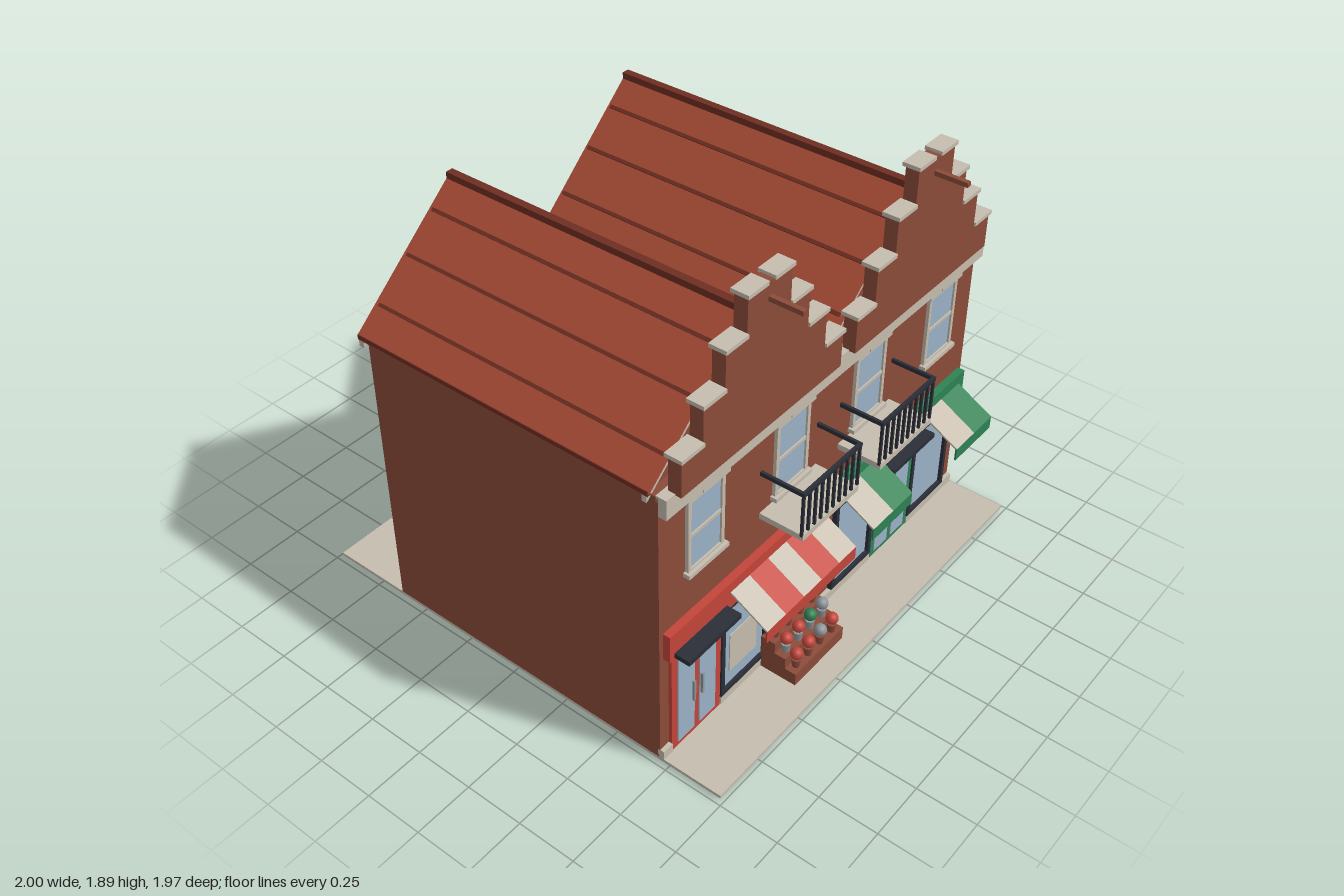
import * as THREE from 'three';

const mat = (name, color) => {
  const m = new THREE.MeshStandardMaterial({ color });
  m.name = name;
  return m;
};

export function createModel() {
  const root = new THREE.Group();
  root.name = 'terracedShops';
  const stone = mat('stone', 0xc6bdae), brick = mat('brick', 0x8c4c3a), roofTile = mat('roofTile', 0xa64b34);
  const roofTrim = mat('roofTrim', 0x6e2e22), glass = mat('glass', 0x9ab2c6), red = mat('redPaint', 0xc4453a);
  const green = mat('greenPaint', 0x2f8254), dark = mat('charcoal', 0x2b2e37), blue = mat('binBlue', 0x374f8c);
  const grey = mat('grey', 0x8e959a);

  const add = (name, geo, m, parent = root) => {
    const mesh = new THREE.Mesh(geo, m);
    mesh.name = name;
    parent.add(mesh);
    return mesh;
  };
  // Box from its limits on each axis
  const box = (name, m, x0, x1, y0, y1, z0, z1, parent = root) => {
    const b = add(name, new THREE.BoxGeometry(x1 - x0, y1 - y0, z1 - z0), m, parent);
    b.position.set((x0 + x1) / 2, (y0 + y1) / 2, (z0 + z1) / 2);
    return b;
  };
  const group = (name) => {
    const g = new THREE.Group();
    g.name = name;
    root.add(g);
    return g;
  };
  // Outline extruded along z between two planes
  const prism = (name, m, pts, z0, z1, parent = root) => {
    const shape = new THREE.Shape(pts.map(([x, y]) => new THREE.Vector2(x, y)));
    const mesh = add(name, new THREE.ExtrudeGeometry(shape, { depth: z1 - z0, bevelEnabled: false }), m, parent);
    mesh.position.z = z0;
    return mesh;
  };
  // Rectangular frame with an open middle
  const frame = (name, m, x0, x1, y0, y1, z0, z1, t, parent) => {
    box(name + 'Left', m, x0, x0 + t, y0, y1, z0, z1, parent);
    box(name + 'Right', m, x1 - t, x1, y0, y1, z0, z1, parent);
    box(name + 'Top', m, x0 + t, x1 - t, y1 - t, y1, z0, z1, parent);
    box(name + 'Bottom', m, x0 + t, x1 - t, y0, y0 + t, z0, z1, parent);
  };

  // Pavement and walls
  box('pavement', stone, -0.98, 0.98, 0.008, 0.022, -0.985, 0.985);
  prism('houseWalls', brick, [[-0.98, 0.02], [0.98, 0.02], [0.98, 1.27], [0.49, 1.7], [0, 1.27], [-0.49, 1.7], [-0.98, 1.27]], -0.63, 0.665);
  box('frontWall', brick, -0.98, 0.98, 0.02, 1.28, 0.66, 0.71);
  box('cornice', stone, -0.98, 0.98, 1.2, 1.285, 0.7, 0.745);
  for (const [a, b] of [[-0.98, -0.93], [-0.645, 0.35], [0.63, 0.98]]) box('plinth', stone, a, b, 0.02, 0.062, 0.7, 0.728);

  // Double roof with bargeboards, seams and ridge caps
  const ridgeLine = [[-1, 1.3], [-0.49, 1.732], [0, 1.3], [0.49, 1.732], [1, 1.3]];
  const band = (top, bottom) => [
    ...ridgeLine.map(([x, y]) => [x, y - bottom]),
    ...ridgeLine.map(([x, y]) => [x, y - top]).reverse(),
  ];
  prism('roofCovering', roofTile, band(0, 0.018), -0.66, 0.685);
  prism('rearBargeboard', stone, band(0.018, 0.045), -0.655, -0.63);
  prism('frontBargeboard', stone, band(0.018, 0.045), 0.66, 0.68);
  const slope = Math.atan2(0.432, 0.5);
  for (const cx of [-0.49, 0.49]) {
    box('ridgeCap', roofTrim, cx - 0.016, cx + 0.016, 1.718, 1.745, -0.66, 0.685);
    for (const s of [-1, 1]) for (const d of [0.11, 0.25, 0.405]) {
      const seam = box('roofSeam', roofTrim, -0.007, 0.007, -0.006, 0.006, -0.645, 0.67);
      seam.position.x = cx + s * d;
      seam.position.y = 1.734 - d * 0.87;
      seam.rotation.z = -s * slope;
    }
  }
  for (const s of [-1, 1]) box('eavesTrim', roofTrim, s * 0.993 - 0.007, s * 0.993 + 0.007, 1.285, 1.303, -0.66, 0.685);

  // Stepped front gables with coping stones and hoist beams
  const half = [0.445, 0.335, 0.225, 0.117];
  for (const cx of [-0.49, 0.49]) {
    const g = group('steppedGable');
    const right = half.flatMap((h, i) => [[h, 1.28 + i * 0.15], [h, 1.43 + i * 0.15]]);
    const left = right.map(([x, y]) => [-x, y]).reverse();
    prism('gableWall', brick, [...right, ...left].map(([x, y]) => [cx + x, y]), 0.715, 0.77, g);
    half.forEach((h, i) => {
      const inner = i < 3 ? half[i + 1] : 0.018, y = 1.43 + i * 0.15;
      for (const s of [-1, 1]) {
        const a = cx + s * inner, b = cx + s * (h + 0.008);
        box('copingStone', stone, Math.min(a, b), Math.max(a, b), y - 0.004, y + 0.012, 0.705, 0.778, g);
      }
    });
    box('hoistBeam', brick, cx - 0.01, cx + 0.01, 1.807, 1.826, 0.76, 0.905, g);
  }

  // Upper front windows
  for (const cx of [-0.74, -0.245, 0.245, 0.74]) {
    const g = group('upperWindow');
    box('windowGlass', glass, cx - 0.085, cx + 0.085, 0.85, 1.17, 0.708, 0.716, g);
    frame('windowFrame', stone, cx - 0.1, cx + 0.1, 0.84, 1.18, 0.705, 0.724, 0.017, g);
    box('windowBar', stone, cx - 0.085, cx + 0.085, 0.998, 1.012, 0.705, 0.722, g);
    box('windowSill', stone, cx - 0.11, cx + 0.11, 0.832, 0.85, 0.705, 0.738, g);
    box('windowLintel', stone, cx - 0.113, cx + 0.113, 1.168, 1.188, 0.705, 0.734, g);
    box('keystone', stone, cx - 0.038, cx + 0.038, 1.178, 1.198, 0.705, 0.738, g);
  }
  // Rear windows
  for (const cx of [-0.49, 0.49]) {
    const g = group('rearWindow');
    box('windowGlass', glass, cx - 0.085, cx + 0.085, 0.85, 1.11, -0.636, -0.628, g);
    frame('windowFrame', stone, cx - 0.098, cx + 0.098, 0.84, 1.125, -0.645, -0.625, 0.016, g);
    box('windowSill', stone, cx - 0.11, cx + 0.11, 0.834, 0.85, -0.658, -0.625, g);
  }

  // Balconies
  for (const cx of [-0.245, 0.245]) {
    const g = group('balcony'), x0 = cx - 0.178, x1 = cx + 0.178;
    box('balconyFloor', stone, x0 + 0.005, x1 - 0.005, 0.79, 0.815, 0.7, 0.9, g);
    box('frontRail', dark, x0, x1, 0.995, 1.012, 0.886, 0.9, g);
    for (const x of [x0, x1 - 0.012]) box('sideRail', dark, x, x + 0.012, 0.995, 1.012, 0.71, 0.89, g);
    for (let i = 0; i < 10; i++) {
      const x = x0 + 0.006 + i * (0.344 / 9);
      box('baluster', dark, x - 0.005, x + 0.005, 0.81, 1, 0.888, 0.898, g);
    }
  }

  // Shopfronts: fascia, double door, door canopy and step
  for (const [paint, f0, f1, d0] of [[red, -0.96, -0.02, -0.93], [green, 0.02, 0.96, 0.35]]) {
    const g = group('shopfront'), d1 = d0 + 0.283, mid = (d0 + d1) / 2;
    box('fascia', paint, f0, f1, 0.522, 0.645, 0.7, 0.742, g);
    box('doorBack', paint, d0, d1, 0.022, 0.515, 0.7, 0.724, g);
    for (const s of [-1, 1]) {
      const c = mid + s * 0.061;
      box('doorGlass', glass, c - 0.047, c + 0.047, 0.045, 0.482, 0.722, 0.728, g);
      box('doorHandle', grey, mid + s * 0.024 - 0.005, mid + s * 0.024 + 0.005, 0.2, 0.3, 0.725, 0.738, g);
    }
    box('doorCanopy', dark, mid - 0.148, mid + 0.148, 0.53, 0.551, 0.72, 0.808, g);
    box('doorStep', stone, mid - 0.175, mid + 0.175, 0, 0.012, 0.72, 0.89, g);
  }

  // Shop windows
  for (const [x0, x1] of [[-0.645, -0.08], [0.073, 0.35], [0.63, 0.908]]) {
    const g = group('shopWindow');
    box('shopGlass', glass, x0 + 0.02, x1 - 0.02, 0.07, 0.5, 0.708, 0.716, g);
    frame('shopFrame', dark, x0, x1, 0.062, 0.51, 0.705, 0.73, 0.02, g);
  }
  box('shopWindowMullion', dark, -0.377, -0.365, 0.07, 0.5, 0.705, 0.728);
  box('windowPoster', stone, -0.585, -0.42, 0.145, 0.335, 0.712, 0.72);

  // Striped awnings with valances
  const awning = (x0, x1, stripes, paint) => {
    const g = group('awning'), w = (x1 - x0) / stripes;
    for (let i = 0; i < stripes; i++) {
      const strip = add('awningStripe', new THREE.BoxGeometry(w, 0.008, Math.hypot(0.165, 0.092)), i % 2 ? paint : stone, g);
      strip.position.set(x0 + (i + 0.5) * w, 0.55, 0.823);
      strip.rotation.x = Math.atan2(0.092, 0.165);
    }
    box('valance', paint, x0, x1, 0.45, 0.505, 0.9, 0.907, g);
  };
  awning(-0.62, -0.063, 5, red);
  awning(0.057, 0.325, 2, green);
  awning(0.655, 0.922, 2, green);

  // Flower stand with three tiers
  const stand = group('flowerStand');
  const heads = [[red, red, grey, red], [red, red, green, grey], [grey, green, grey, brick]];
  const potGeo = new THREE.CylinderGeometry(0.02, 0.015, 0.04, 8);
  const headGeo = new THREE.IcosahedronGeometry(0.026, 1);
  heads.forEach((row, r) => {
    const top = 0.08 + r * 0.05, z = 0.863 - r * 0.05;
    box('standTier', brick, -0.395, -0.08, r ? 0.02 : 0.005, top, r === 2 ? 0.725 : z - 0.026, z + 0.027, stand);
    row.forEach((m, c) => {
      const x = -0.355 + c * 0.078;
      add('flowerPot', potGeo, r === 1 ? grey : brick, stand).position.set(x, top + 0.02, z);
      add('flowerHead', headGeo, m, stand).position.set(x, top + 0.066, z);
    });
  });

  // Bins behind the shops
  const bodyGeo = new THREE.CylinderGeometry(0.045, 0.042, 0.165, 10);
  const lidGeo = new THREE.CylinderGeometry(0.051, 0.051, 0.014, 10);
  for (const [x, m] of [[-0.14, blue], [-0.02, dark], [0.25, green], [0.37, blue], [0.49, dark], [0.645, blue]]) {
    const g = group('bin');
    add('binBody', bodyGeo, m, g).position.set(x, 0.134, -0.905);
    add('binLid', lidGeo, grey, g).position.set(x, 0.222, -0.905);
  }
  // Row of thin posts
  for (const x of [-0.85, -0.735, -0.63, -0.495, -0.385, -0.28]) {
    add('post', new THREE.CylinderGeometry(0.005, 0.005, 0.145, 6), dark).position.set(x, 0.09, -0.71);
  }
  return root;
}
